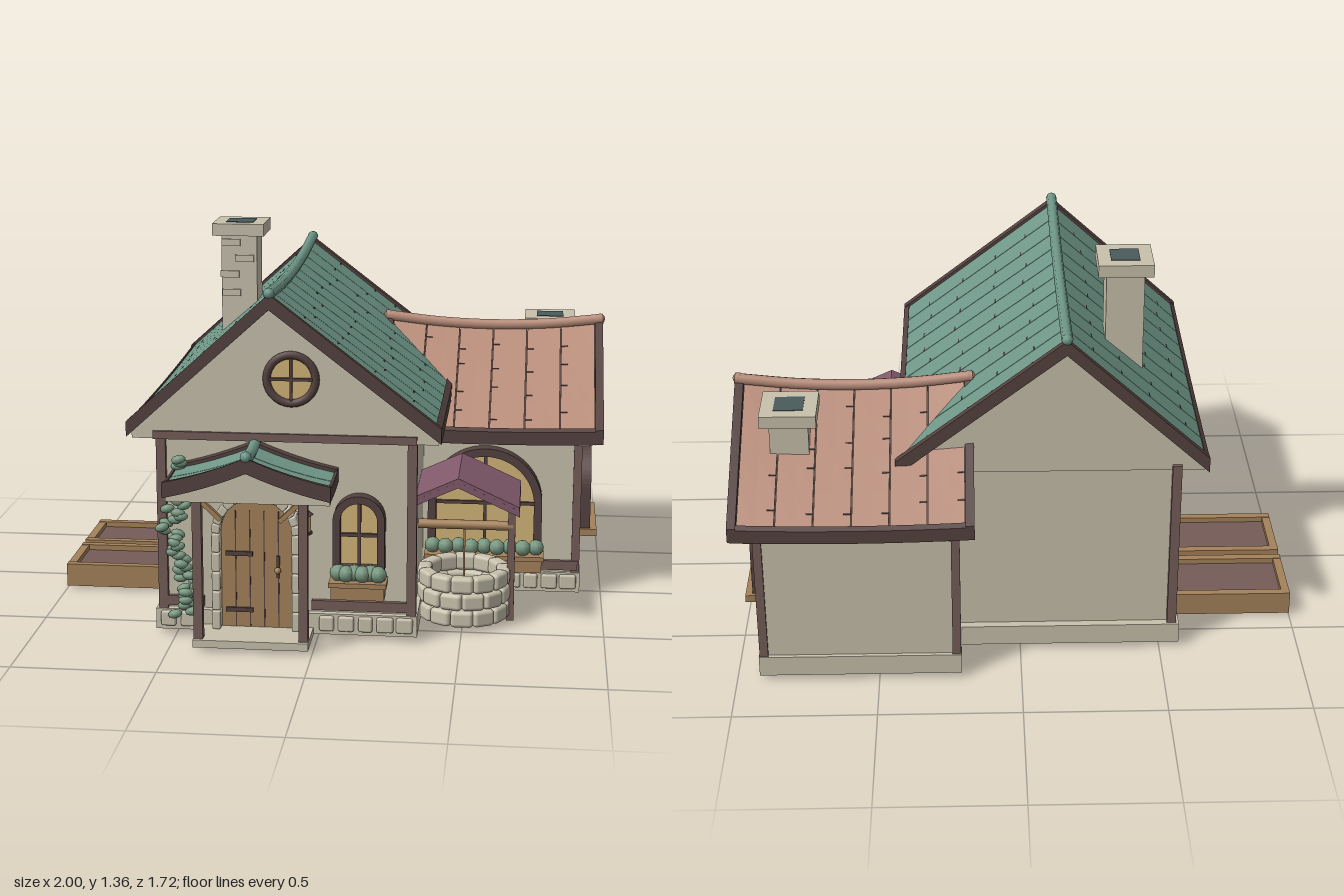
import * as THREE from 'three';
import { RoundedBoxGeometry } from 'three/addons/geometries/RoundedBoxGeometry.js';

const mat = (name, color, side = THREE.FrontSide) => Object.assign(new THREE.MeshStandardMaterial({ color, side }), { name });

export function createModel() {
  const M = {
    plaster: mat('plaster', 0xc8c1ad), green: mat('green roof', 0x6f9788), clay: mat('clay roof', 0xb88c79),
    timber: mat('timber', 0x755d58), dark: mat('dark trim', 0x54423f), wood: mat('wood', 0xa5825a),
    glass: mat('warm glass', 0xd2b67a), plum: mat('plum roof', 0x815a6c), leaf: mat('leaf', 0x789880),
    slate: mat('slate', 0x4a5a5c),
  };
  const root = new THREE.Group();
  root.name = 'cottage';
  let seed = 7;
  const rnd = () => (seed = (seed * 16807) % 2147483647) / 2147483647;

  const add = (name, geo, m, x = 0, y = 0, z = 0, parent = root) => {
    const mesh = new THREE.Mesh(geo, m);
    mesh.name = name;
    mesh.position.set(x, y, z);
    parent.add(mesh);
    return mesh;
  };
  const box = (name, m, x0, x1, y0, y1, z0, z1, parent = root) =>
    add(name, new THREE.BoxGeometry(x1 - x0, y1 - y0, z1 - z0), m, (x0 + x1) / 2, (y0 + y1) / 2, (z0 + z1) / 2, parent);
  const group = (name, x = 0, y = 0, z = 0, ry = 0, parent = root) => {
    const g = new THREE.Group();
    g.name = name;
    g.position.set(x, y, z);
    g.rotation.y = ry;
    parent.add(g);
    return g;
  };
  const poly = (pts) => new THREE.Shape(pts.map((p) => new THREE.Vector2(p[0], p[1])));
  const extrude = (shape, depth) => new THREE.ExtrudeGeometry(shape, { depth, bevelEnabled: false, curveSegments: 16 });
  const lerp = THREE.MathUtils.lerp;

  // Gabled roof: ridge along local z, sagging in the middle, built of planks on a dark underlay
  function roof(g, o) {
    const { wl, wr, ridge, eave, half, sag = 0, curl = 0, n, m, edge = 0.03 } = o;
    const height = (a, b) => ridge - (ridge - eave) * (a + curl * a * (1 - a)) - sag * (1 - b * b) * (1 - 0.7 * a);
    const slab = (name, mt, s, a0, a1, b0, b1, t0, t1, sa = 4, sb = 2) => {
      const geo = new THREE.BoxGeometry(1, 1, 1, sa, 1, sb);
      const p = geo.attributes.position;
      for (let i = 0; i < p.count; i++) {
        const u = s > 0 ? p.getX(i) + 0.5 : 0.5 - p.getX(i);
        const a = lerp(a0, a1, u), b = lerp(b0, b1, p.getZ(i) + 0.5);
        p.setXYZ(i, s * a * (s > 0 ? wr : wl), height(a, b) + lerp(t0, t1, p.getY(i) + 0.5), b * half);
      }
      const flat = geo.toNonIndexed();
      flat.computeVertexNormals();
      return add(name, flat, mt, 0, 0, 0, g);
    };
    const e = edge / half;
    for (const s of [-1, 1]) {
      slab('roofUnderlay', o.under ?? M.dark, s, 0, 0.99, -1 + e / 2, 1 - e / 2, -0.022, 0, 4, 12);
      for (let i = 0; i < n; i++) {
        const b0 = lerp(-1 + e, 1 - e, i / n), b1 = lerp(-1 + e, 1 - e, (i + 1) / n);
        const gap = n > 1 ? 0.002 / half : 0;
        slab('roofPlank', m, s, 0, 0.985, b0 + gap, b1 - gap, 0, 0.012);
        // small shingle notches
        if (o.notch) for (let k = 0; k < 4; k++) {
          const a = 0.12 + 0.22 * k + 0.1 * rnd(), b = b0 + gap;
          slab('shingleNotch', M.dark, s, a, a + 0.008, b, b + 0.025 / half, 0.01, 0.014, 1, 1);
        }
      }
      if (!o.trim) continue;
      for (const b of [-1, 1]) slab('vergeBoard', M.dark, s, 0, 1, b > 0 ? 1 - e : -1, b > 0 ? 1 : -1 + e, -0.03, 0.024, 6, 1);
      slab('eaveBoard', M.dark, s, 0.965, 1, -1, 1, -0.03, 0.018, 1, 8);
    }
    if (!o.trim) return;
    // ridge cap and gable panels
    const path = new THREE.CatmullRomCurve3([-1, -0.5, 0, 0.5, 1].map((b) => new THREE.Vector3(0, height(0, b) + 0.024, b * half)));
    add('ridgeCap', new THREE.TubeGeometry(path, 12, 0.02, 8), m, 0, 0, 0, g);
    for (const b of [-1, 1]) add('ridgeCapEnd', new THREE.SphereGeometry(0.02, 8, 6), m, 0, ridge + 0.024, b * (half - 0.012), g);
    const pts = [[-wl * 0.98, o.base], [wr * 0.98, o.base]];
    for (let i = 6; i >= -6; i--) {
      const a = Math.abs(i) / 6;
      pts.push([0.98 * a * (i > 0 ? wr : -wl), height(a, 1) - 0.022]);
    }
    for (const z of o.panels ?? [half - 0.05, -half + 0.09]) add('gablePanel', extrude(poly(pts), 0.04), M.plaster, 0, 0, z - 0.04, g);
  }

  // Main house
  add('mainWalls', extrude(poly([[-0.55, 0.03], [0.335, 0.03], [0.335, 0.785], [-0.155, 1.14], [-0.55, 0.8]]), 1.18), M.plaster, 0, 0, -0.58);
  box('mainPlinth', M.plaster, -0.57, 0.35, 0.025, 0.1, -0.61, 0.625);
  roof(group('mainRoof', -0.155, 0, 0.025), { wl: 0.495, wr: 0.585, ridge: 1.215, eave: 0.765, half: 0.66, sag: 0.03, n: 10, m: M.green, notch: true, trim: true, base: 0.72 });
  for (const x of [-0.56, 0.312]) for (const z of [-0.6, 0.587]) box('cornerPost', M.timber, x, x + 0.033, 0.1, 0.74, z, z + 0.033);
  box('frontTopBeam', M.timber, -0.565, 0.345, 0.72, 0.748, 0.6, 0.645);
  for (const x of [-0.558, 0.325]) box('sideTopBeam', M.timber, x, x + 0.018, 0.72, 0.755, -0.58, 0.6);
  box('frontSillBeam', M.timber, -0.02, 0.34, 0.11, 0.145, 0.59, 0.617);
  box('frontSillBeam', M.timber, -0.55, -0.4, 0.11, 0.145, 0.59, 0.617);

  // Side wing, its ridge running along x
  const wing = group('wing', 0.575, 0, -0.355, Math.PI / 2);
  add('wingWalls', extrude(poly([[-0.42, 0.03], [0.415, 0.03], [0.415, 0.635], [0, 0.885], [-0.42, 0.635]]), 0.69), M.plaster, 0, 0, -0.355, wing);
  box('wingPlinth', M.plaster, 0.21, 0.92, 0.025, 0.1, -0.785, 0.08);
  roof(wing, { wl: 0.5, wr: 0.5, ridge: 0.955, eave: 0.64, half: 0.415, sag: 0.03, n: 6, m: M.clay, notch: true, trim: true, base: 0.6 });
  for (const z of [-0.78, 0.042]) box('wingPost', M.timber, 0.887, 0.917, 0.1, 0.64, z, z + 0.033);
  box('wingPost', M.timber, 0.212, 0.242, 0.1, 0.64, -0.78, -0.747);
  for (const z of [0.06, -0.785]) box('wingTopBeam', M.timber, 0.23, 0.91, 0.63, 0.665, z, z + 0.02);
  box('wingSillBeam', M.timber, 0.34, 0.91, 0.11, 0.145, 0.06, 0.082);

  // Facing stones on the front plinths
  const stones = (x0, x1, n, z) => {
    const w = (x1 - x0) / n;
    for (let i = 0; i < n; i++) {
      const sw = w * (0.72 + 0.2 * rnd());
      add('plinthStone', new RoundedBoxGeometry(sw, 0.055, 0.024, 1, 0.008), M.plaster, x0 + (i + 0.5) * w, 0.066, z);
    }
  };
  stones(-0.56, -0.42, 2, 0.626);
  stones(0, 0.34, 5, 0.626);
  stones(0.36, 0.91, 8, 0.081);

  // Chimneys
  const chimney = (x, z, y0, top) => {
    const g = group('chimney', x, 0, z);
    box('chimneyShaft', M.plaster, -0.067, 0.067, y0, top - 0.04, -0.067, 0.067, g);
    box('chimneyCap', M.plaster, -0.097, 0.097, top - 0.045, top, -0.097, 0.097, g);
    box('flue', M.slate, -0.051, 0.051, top - 0.005, top + 0.002, -0.051, 0.051, g);
    [[-0.03, 0.06], [0.02, 0.12], [-0.035, 0.18], [-0.03, 0.25]].forEach(([bx, d]) => {
      if (top - 0.05 - d > y0) box('chimneyBrick', M.plaster, bx - 0.035, bx + 0.035, top - 0.025 - d, top - d, 0.06, 0.074, g);
    });
  };
  chimney(-0.375, -0.19, 0.82, 1.36);
  chimney(0.79, -0.525, 0.72, 0.962);

  // Arched shapes and windows, facing local +z
  const arch = (S, r, bottom, spring) => {
    const s = new S();
    s.moveTo(-r, bottom);
    s.lineTo(r, bottom);
    s.lineTo(r, spring);
    s.absarc(0, spring, r, 0, Math.PI, false);
    s.lineTo(-r, bottom);
    return s;
  };
  const archWindow = (g, r, bottom, spring, f) => {
    const frame = arch(THREE.Shape, r, bottom, spring);
    frame.holes.push(arch(THREE.Path, r - f, bottom + f * 0.5, spring));
    add('windowFrame', extrude(frame, 0.055), M.dark, 0, 0, -0.005, g);
    add('windowGlass', extrude(arch(THREE.Shape, r - f, bottom, spring), 0.009), M.glass, 0, 0, 0.004, g);
    box('windowBar', M.dark, -0.006, 0.006, bottom, spring + r - f, 0.01, 0.024, g);
    const y = lerp(bottom, spring + r, 0.45);
    box('windowBar', M.dark, -r + f, r - f, y - 0.006, y + 0.006, 0.01, 0.024, g);
  };
  const planter = (g, w, y, n) => {
    box('planterBox', M.wood, -w / 2 + 0.008, w / 2 - 0.008, y, y + 0.05, 0.01, 0.09, g);
    box('planterRim', M.wood, -w / 2, w / 2, y + 0.045, y + 0.062, 0.005, 0.097, g);
    for (let i = 0; i < n; i++)
      add('planterBush', new THREE.SphereGeometry(0.03, 8, 6), M.leaf, lerp(-w / 2 + 0.03, w / 2 - 0.03, i / (n - 1)), y + 0.086, 0.05 + 0.012 * (i % 2), g);
  };
  const hall = group('hallWindow', 0.147, 0, 0.6);
  archWindow(hall, 0.09, 0.27, 0.445, 0.026);
  planter(hall, 0.2, 0.175, 6);
  const big = group('wingFrontWindow', 0.565, 0, 0.067);
  archWindow(big, 0.21, 0.19, 0.367, 0.03);
  planter(big, 0.44, 0.12, 9);
  const side = group('wingSideWindow', 0.91, 0, -0.35, Math.PI / 2);
  archWindow(side, 0.17, 0.19, 0.34, 0.026);
  box('windowSill', M.wood, -0.185, 0.185, 0.17, 0.197, 0, 0.075, side);

  // Round attic window
  const attic = group('atticWindow', -0.085, 0.94, 0.636);
  add('atticFrame', new THREE.TorusGeometry(0.084, 0.014, 8, 28), M.dark, 0, 0, 0.004, attic);
  add('atticGlass', new THREE.CircleGeometry(0.082, 28), M.glass, 0, 0, 0.003, attic);
  box('atticBar', M.dark, -0.005, 0.005, -0.08, 0.08, 0.002, 0.014, attic);
  box('atticBar', M.dark, -0.08, 0.08, -0.005, 0.005, 0.002, 0.014, attic);

  // Door with stone surround
  const door = group('door', -0.208, 0, 0.6);
  add('doorLeaf', extrude(arch(THREE.Shape, 0.125, 0.04, 0.395), 0.035), M.wood, 0, 0, 0, door);
  for (const x of [-0.075, -0.025, 0.025, 0.075]) box('plankGroove', M.dark, x - 0.002, x + 0.002, 0.05, 0.47, 0.03, 0.037, door);
  for (const y of [0.11, 0.315]) box('hinge', M.dark, -0.11, -0.015, y - 0.008, y + 0.008, 0.03, 0.042, door);
  box('handlePlate', M.dark, 0.068, 0.08, 0.23, 0.31, 0.03, 0.041, door);
  add('doorKnob', new THREE.SphereGeometry(0.012, 10, 8), M.wood, 0.074, 0.26, 0.05, door);
  for (let i = 0; i < 13; i++) {
    const a = ((i + 0.5) / 13) * Math.PI;
    add('archStone', new RoundedBoxGeometry(0.03, 0.034, 0.075, 1, 0.006), M.plaster, 0.14 * Math.cos(a), 0.395 + 0.14 * Math.sin(a), 0.037, door).rotation.z = a;
  }
  for (const s of [-1, 1]) for (let i = 0; i < 5; i++)
    add('jambStone', new RoundedBoxGeometry(0.03, 0.068, 0.075, 1, 0.006), M.plaster, s * 0.14, 0.08 + i * 0.07, 0.037, door);

  // Porch
  const porch = group('porch', -0.213, 0, 0.728);
  box('porchStep', M.plaster, -0.2, 0.2, 0.02, 0.047, -0.12, 0.062, porch);
  roof(porch, { wl: 0.285, wr: 0.285, ridge: 0.692, eave: 0.6, half: 0.127, sag: 0.015, curl: 0.35, n: 2, m: M.green, trim: true, base: 0.548, edge: 0.024, panels: [0.09] });
  for (const s of [-1, 1]) {
    box('porchPost', M.timber, s * 0.182 - 0.016, s * 0.182 + 0.016, 0.045, 0.56, 0.016, 0.048, porch);
    box('porchBeam', M.timber, s * 0.182 - 0.018, s * 0.182 + 0.018, 0.55, 0.59, -0.125, 0.08, porch);
    add('porchBrace', new THREE.BoxGeometry(0.016, 0.11, 0.02), M.wood, s * 0.14, 0.51, 0.03, porch).rotation.z = -s * 0.8;
  }
  // Lantern hung below the porch beam
  box('lanternHook', M.dark, 0.178, 0.186, 0.5, 0.56, -0.024, -0.016, porch);
  add('lanternGlass', new THREE.CylinderGeometry(0.02, 0.02, 0.06, 8), M.glass, 0.182, 0.455, -0.02, porch);
  add('lanternCap', new THREE.ConeGeometry(0.03, 0.025, 8), M.dark, 0.182, 0.497, -0.02, porch);
  add('lanternBase', new THREE.CylinderGeometry(0.025, 0.025, 0.01, 8), M.dark, 0.182, 0.42, -0.02, porch);

  // Climbing ivy beside the door
  for (let i = 0; i < 44; i++) {
    const t = i / 43;
    const l = add('ivyLeaf', new THREE.SphereGeometry(0.026, 8, 6), M.leaf, -0.5 + 0.025 * Math.sin(t * 9) + (rnd() - 0.5) * 0.06 + 0.03 * (1 - t), 0.09 + 0.56 * t, 0.625 + 0.03 * rnd());
    l.scale.set(1, 0.62, 0.6);
    l.rotation.z = (rnd() - 0.5) * 0.8;
  }

  // Well
  const well = group('well', 0.5, 0, 0.347);
  for (let row = 0; row < 3; row++) for (let i = 0; i < 12; i++) {
    const a = ((i + (row % 2) / 2) / 12) * Math.PI * 2;
    const s = add('wellStone', new RoundedBoxGeometry(0.08, 0.06, 0.05, 2, 0.014), M.plaster, 0.14 * Math.sin(a), 0.052 + row * 0.062, 0.14 * Math.cos(a), well);
    s.rotation.y = a;
  }
  add('wellWater', new THREE.CylinderGeometry(0.125, 0.125, 0.03, 24), M.slate, 0, 0.045, 0, well);
  for (const x of [-0.205, 0.168]) box('wellPost', M.timber, x - 0.013, x + 0.013, 0.005, 0.46, -0.015, 0.015, well);
  add('windlass', new THREE.CylinderGeometry(0.017, 0.017, 0.38, 10), M.wood, -0.015, 0.356, 0, well).rotation.z = Math.PI / 2;
  add('rope', new THREE.CylinderGeometry(0.004, 0.004, 0.28, 6), M.wood, 0, 0.21, 0, well);
  roof(group('wellRoof', -0.018, 0, 0, 0, well), { wl: 0.217, wr: 0.217, ridge: 0.562, eave: 0.462, half: 0.178, n: 1, m: M.plum, under: M.plum, edge: 0.001 });

  // Raised garden beds
  for (const z of [-0.278, 0.03]) {
    const bed = group('gardenBed', -0.78, 0, z);
    for (const s of [-1, 1]) {
      box('bedSide', M.wood, -0.22, 0.22, 0.015, 0.1, s * 0.123 - 0.015, s * 0.123 + 0.015, bed);
      box('bedEnd', M.wood, s * 0.205 - 0.015, s * 0.205 + 0.015, 0.015, 0.098, -0.11, 0.11, bed);
    }
    box('bedSoil', M.timber, -0.2, 0.2, 0.03, 0.08, -0.115, 0.115, bed);
  }
  return root;
}
